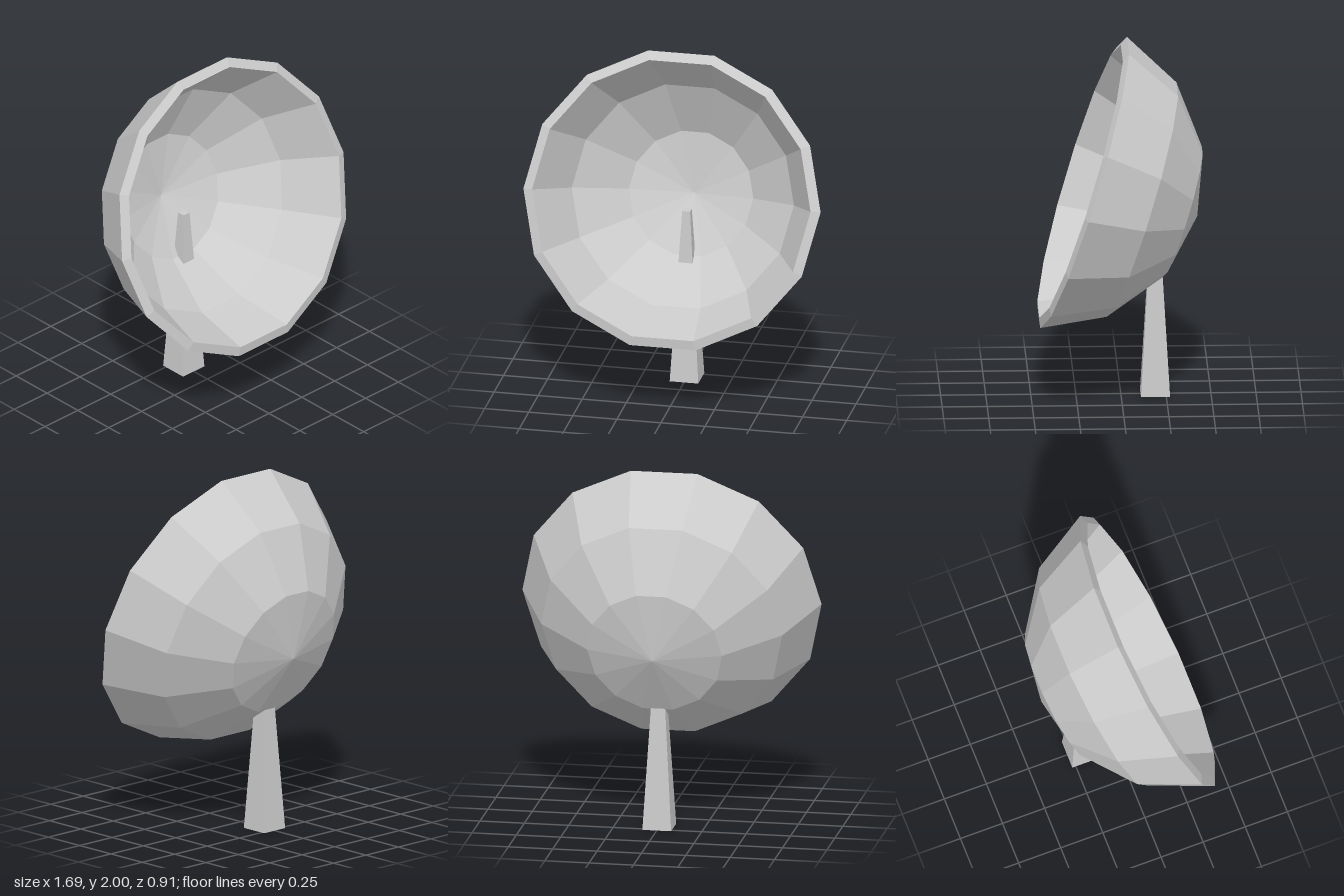
import * as THREE from 'three';

export function createModel() {
  const group = new THREE.Group();
  const material = new THREE.MeshStandardMaterial({ color: 0xcccccc, flatShading: true });

  // Dish: closed 14-sided shell, from the outer apex over the rim to the inner apex
  const profile = [
    [0, -0.662], [0.38, -0.574], [0.679, -0.337], [0.843, 0],
    [0.79, 0.02], [0.63, -0.3], [0.353, -0.53], [0, -0.61],
  ].map(([r, h]) => new THREE.Vector2(r, h));
  const sides = 14;
  const dish = new THREE.Mesh(new THREE.LatheGeometry(profile, sides, Math.PI / sides), material);
  dish.name = 'dish';
  dish.rotation.x = THREE.MathUtils.degToRad(72.5);
  dish.position.set(0, 1.215, 0.207);
  group.add(dish);

  // Post: square tapered column whose tip passes through the dish
  const postHeight = 1;
  const postGeometry = new THREE.CylinderGeometry(0.0225 * Math.SQRT2, 0.081 * Math.SQRT2, postHeight, 4);
  postGeometry.rotateY(Math.PI / 4);
  const post = new THREE.Mesh(postGeometry, material);
  post.name = 'post';
  post.position.set(0, postHeight / 2, -0.19);
  group.add(post);

  return group;
}
